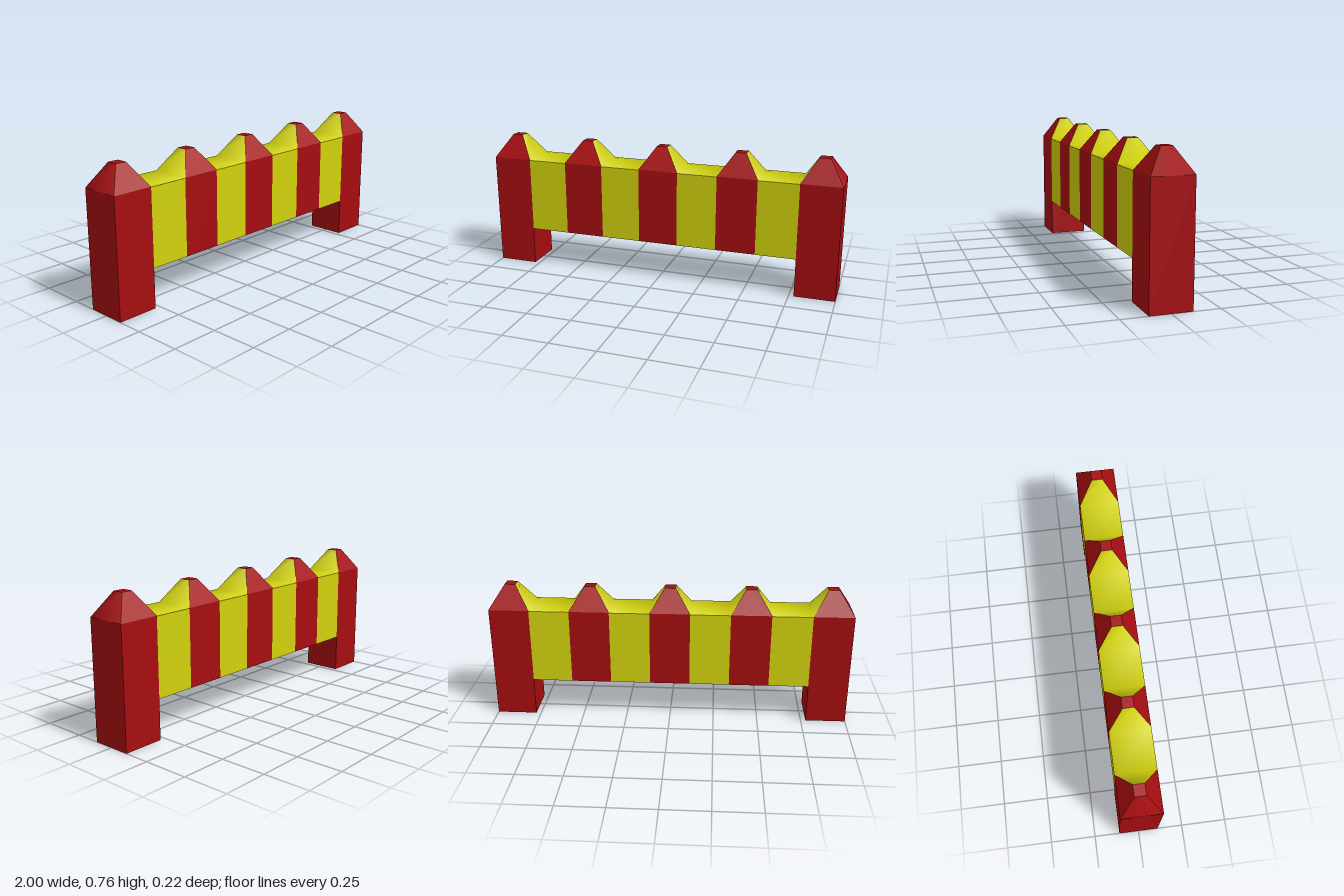
import * as THREE from 'three';

const PITCH = 2 / 9;              // width of one stripe
const HALF = PITCH / 2;           // half stripe width
const DEPTH = 0.11;               // half thickness of the barrier
const LOW = 0.215, TOP = 0.635;   // rail underside and shoulder height
const TIP = 0.03;                 // half width of each flat crest

const red = new THREE.MeshStandardMaterial({ color: 0xa60d10 });
const redFlat = new THREE.MeshStandardMaterial({ color: 0xa60d10, flatShading: true });
const yellow = new THREE.MeshStandardMaterial({ color: 0xd2d20e });
for (const m of [red, redFlat, yellow]) m.side = THREE.DoubleSide;

// Upward-facing band along x through sections [x, y, half depth]
function band(sections) {
  const pos = [], index = [];
  sections.forEach(([x, y, hz], i) => {
    pos.push(x, y, -hz, x, y, hz);
    const a = 2 * i;
    if (i < sections.length - 1) index.push(a, a + 1, a + 3, a, a + 3, a + 2);
  });
  const geo = new THREE.BufferGeometry();
  geo.setAttribute('position', new THREE.Float32BufferAttribute(pos, 3));
  geo.setIndex(index);
  geo.computeVertexNormals();
  return geo;
}

// Lean the normals outward along z so the band shades as if rounded
function softenEdges(geo) {
  const n = geo.attributes.normal, p = geo.attributes.position;
  const v = new THREE.Vector3();
  for (let i = 0; i < n.count; i++) {
    v.fromBufferAttribute(n, i);
    v.z = 0.5 * Math.sign(p.getZ(i));
    v.normalize();
    n.setXYZ(i, v.x, v.y, v.z);
  }
  return geo;
}

export function createModel() {
  const group = new THREE.Group();
  const add = (name, geo, material, x = 0) => {
    const mesh = new THREE.Mesh(geo, material);
    mesh.name = name;
    mesh.position.x = x;
    group.add(mesh);
  };
  const block = (y0, y1) =>
    new THREE.BoxGeometry(PITCH, y1 - y0, 2 * DEPTH).translate(0, (y0 + y1) / 2, 0);

  for (let i = -4; i <= 4; i++) {
    const x = i * PITCH;
    if (i % 2 === 0) {
      // Red stripe; the two end ones reach the ground as posts
      const end = Math.abs(i) === 4;
      const peak = end ? 0.76 : 0.755;
      add(end ? 'post' : 'redStripe', block(end ? 0 : LOW, TOP), red, x);

      // Front slope, flat tip and back slope of the crest
      const crest = band([
        [-DEPTH, TOP, HALF], [-TIP, peak, TIP], [TIP, peak, TIP], [DEPTH, TOP, HALF],
      ]).rotateY(Math.PI / 2);
      add('crest', crest, redFlat, x);

      // Outer slope on the end posts
      if (end) {
        const slope = softenEdges(band([[TIP, peak, TIP], [HALF, TOP, DEPTH]]));
        if (i < 0) slope.rotateY(Math.PI);
        add('endSlope', slope, red, x);
      }
    } else {
      // Yellow stripe with a saddle rising to the crests on both sides
      const peakAt = side => (Math.abs(i + side) === 4 ? 0.76 : 0.755);
      add('yellowStripe', block(LOW, TOP - 0.002), yellow, x);
      const reach = PITCH - TIP;
      add('saddle', softenEdges(band([
        [-reach, peakAt(-1), TIP], [-HALF, TOP, DEPTH],
        [HALF, TOP, DEPTH], [reach, peakAt(1), TIP],
      ])), yellow, x);
    }
  }
  return group;
}
